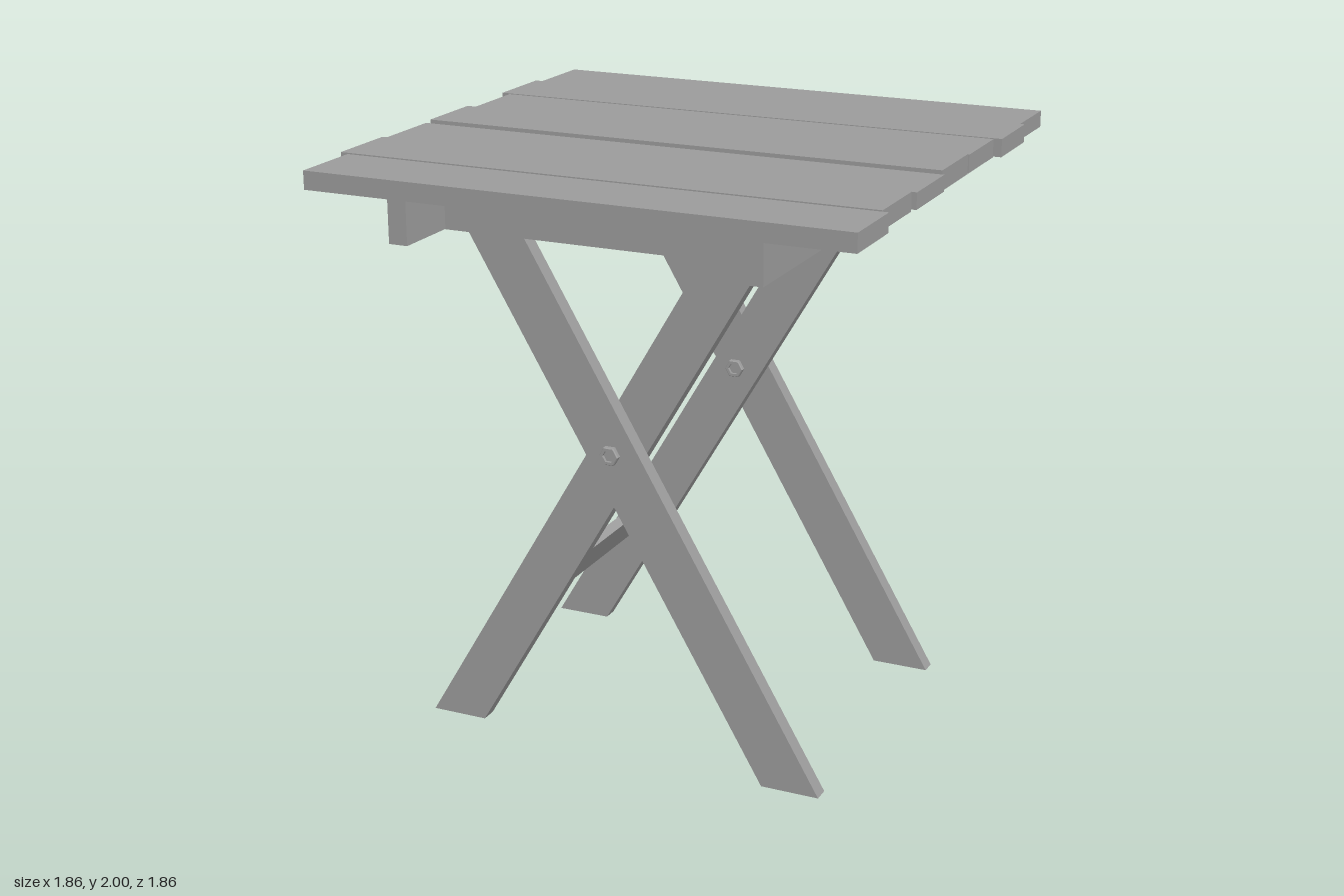
import * as THREE from 'three';

const material = new THREE.MeshStandardMaterial({ color: 0x9b9b9b, flatShading: true });

export function createModel() {
  const model = new THREE.Group();
  model.name = 'foldingTable';

  const add = (name, geometry) => {
    const mesh = new THREE.Mesh(geometry, material);
    mesh.name = name;
    model.add(mesh);
    return mesh;
  };

  // Box given by its lower and upper limits on each axis
  const board = (name, [x0, x1], [y0, y1], [z0, z1]) => {
    const mesh = add(name, new THREE.BoxGeometry(x1 - x0, y1 - y0, z1 - z0));
    mesh.position.set((x0 + x1) / 2, (y0 + y1) / 2, (z0 + z1) / 2);
    return mesh;
  };

  // Table top: seven slightly uneven slats [x0, x1, z0, z1, top]
  const slats = [
    [-0.915, 0.908, -0.925, -0.673, 1.99],
    [-0.93, 0.93, -0.655, -0.402, 1.995],
    [-0.895, 0.905, -0.39, -0.137, 1.995],
    [-0.915, 0.905, -0.125, 0.128, 2.0],
    [-0.93, 0.913, 0.132, 0.385, 1.988],
    [-0.93, 0.905, 0.41, 0.66, 1.995],
    [-0.895, 0.93, 0.675, 0.928, 1.995],
  ];
  slats.forEach(([x0, x1, z0, z1, top], i) => {
    const slat = board('slat' + (i + 1), [x0, x1], [1.934, top], [z0, z1]);
    if (i === 0) slat.rotation.y = -0.006;
  });

  // Frame under the top
  board('rightBearer', [-0.645, -0.58], [1.77, 1.934], [-0.85, 0.85]);
  board('leftBearer', [0.54, 0.606], [1.773, 1.934], [-0.83, 0.83]);
  board('frontRail', [-0.572, 0.532], [1.773, 1.934], [0.57, 0.63]);
  board('backRail', [-0.572, 0.54], [1.773, 1.934], [-0.62, -0.56]);

  // Leg: level foot, sloping sides, square-cut top
  const slope = 0.588;
  const leg = (name, x0, x1, dir, z0, z1) => {
    const high = 1.91, low = 1.82;
    const yLeft = dir > 0 ? high : low;
    const yRight = dir > 0 ? low : high;
    const shape = new THREE.Shape([
      new THREE.Vector2(x0, 0),
      new THREE.Vector2(x1, 0),
      new THREE.Vector2(x1 + dir * slope * yRight, yRight),
      new THREE.Vector2(x0 + dir * slope * yLeft, yLeft),
    ]);
    const geometry = new THREE.ExtrudeGeometry(shape, { depth: z1 - z0, bevelEnabled: false });
    add(name, geometry).position.z = z0;
  };
  leg('frontOuterLeg', 0.505, 0.705, -1, 0.508, 0.563);
  leg('backOuterLeg', 0.505, 0.705, -1, -0.55, -0.495);
  leg('frontInnerLeg', -0.755, -0.558, 1, 0.452, 0.508);
  leg('backInnerLeg', -0.755, -0.558, 1, -0.495, -0.44);

  // Stretcher between the inner legs, tilted with them
  const stretcher = add('stretcher', new THREE.BoxGeometry(0.035, 0.148, 0.892));
  stretcher.position.set(-0.38, 0.476, 0.006);
  stretcher.rotation.z = -Math.atan(slope);

  // Pivot bolts: hexagonal socket heads on both ends of a shank
  const half = [[0.02, 0.053], [0.034, 0.053], [0.034, 0.069], [0.031, 0.073], [0.021, 0.073], [0.021, 0.062], [0, 0.062]];
  const profile = [
    ...half.map(([r, h]) => new THREE.Vector2(r, -h)).reverse(),
    ...half.map(([r, h]) => new THREE.Vector2(r, h)),
  ];
  for (const [name, z] of [['frontBolt', 0.508], ['backBolt', -0.495]]) {
    const geometry = new THREE.LatheGeometry(profile, 6);
    geometry.rotateY(Math.PI / 6).rotateX(Math.PI / 2);
    add(name, geometry).position.set(-0.03, 1.07, z);
  }

  return model;
}
